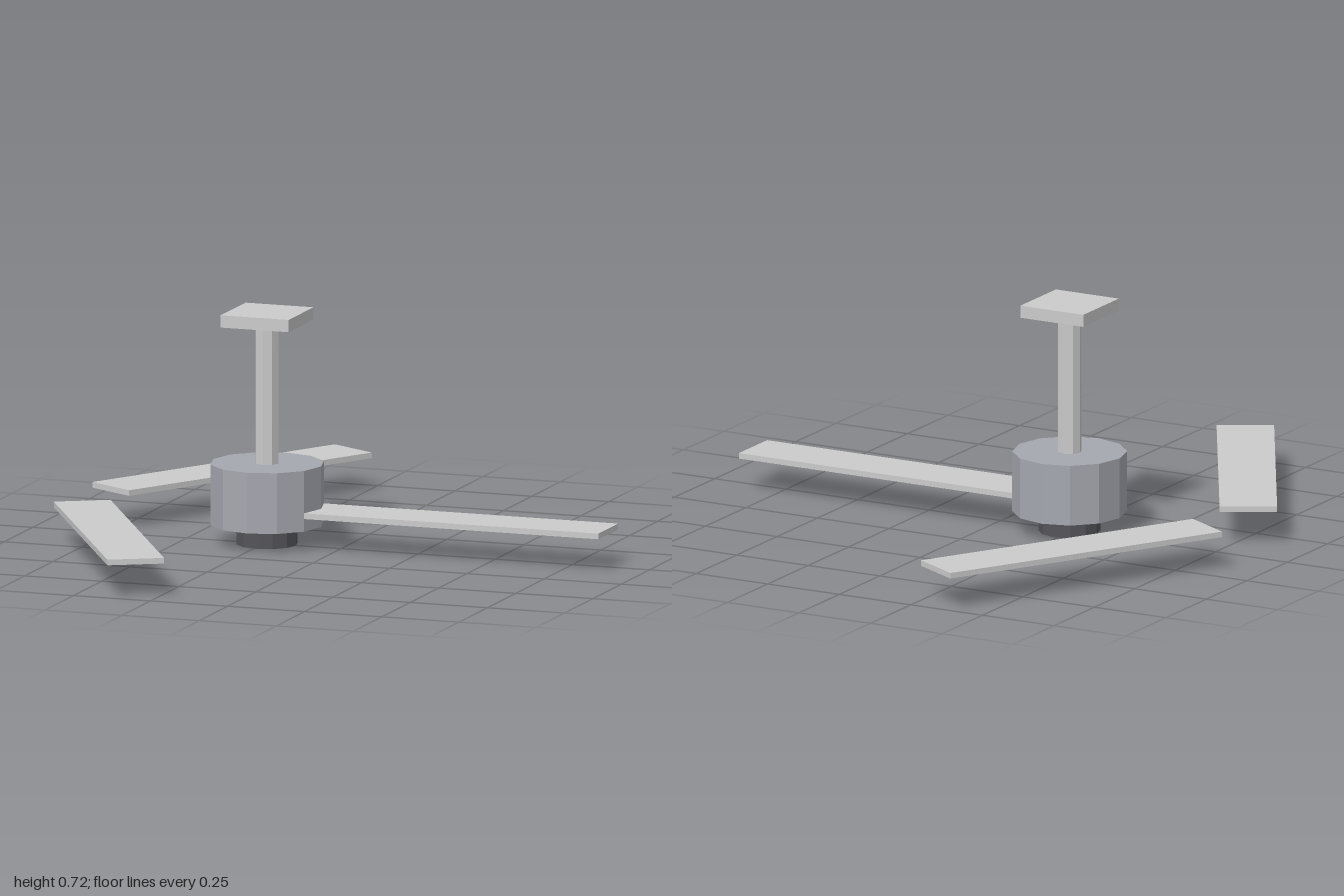
import * as THREE from 'three';

const HUB_X = -0.24;

function part(name, geometry, color, x, y, z = 0) {
  const material = new THREE.MeshStandardMaterial({ color, flatShading: true });
  const mesh = new THREE.Mesh(geometry, material);
  mesh.name = name;
  mesh.position.set(x, y, z);
  return mesh;
}

// Faceted upright cylinder on the hub axis, from height y0 to y1
function drum(name, radius, y0, y1, sides, color) {
  const geometry = new THREE.CylinderGeometry(radius, radius, y1 - y0, sides);
  return part(name, geometry, color, HUB_X, (y0 + y1) / 2);
}

export function createModel() {
  const fan = new THREE.Group();
  fan.name = 'ceilingFan';

  // Ceiling plate, rod, motor and lower cap
  fan.add(part('ceilingPlate', new THREE.BoxGeometry(0.22, 0.038, 0.22), 0xcccccc, HUB_X, 0.7));
  fan.add(drum('downRod', 0.037, 0.25, 0.682, 8, 0xcccccc));
  fan.add(drum('motorHousing', 0.175, 0.062, 0.25, 12, 0xa6a8b0));
  fan.add(drum('lowerCap', 0.094, 0, 0.062, 12, 0x55555a));

  // Three blades spaced evenly around the hub, the outer two turned crosswise
  const reach = 0.626;
  for (let i = -1; i <= 1; i++) {
    const angle = (i * Math.PI * 2) / 3;
    const blade = part('blade', new THREE.BoxGeometry(0.96, 0.0175, 0.175), 0xcccccc,
      HUB_X + reach * Math.cos(angle), 0.11, reach * Math.sin(angle));
    blade.rotation.y = angle;
    fan.add(blade);
  }
  return fan;
}
